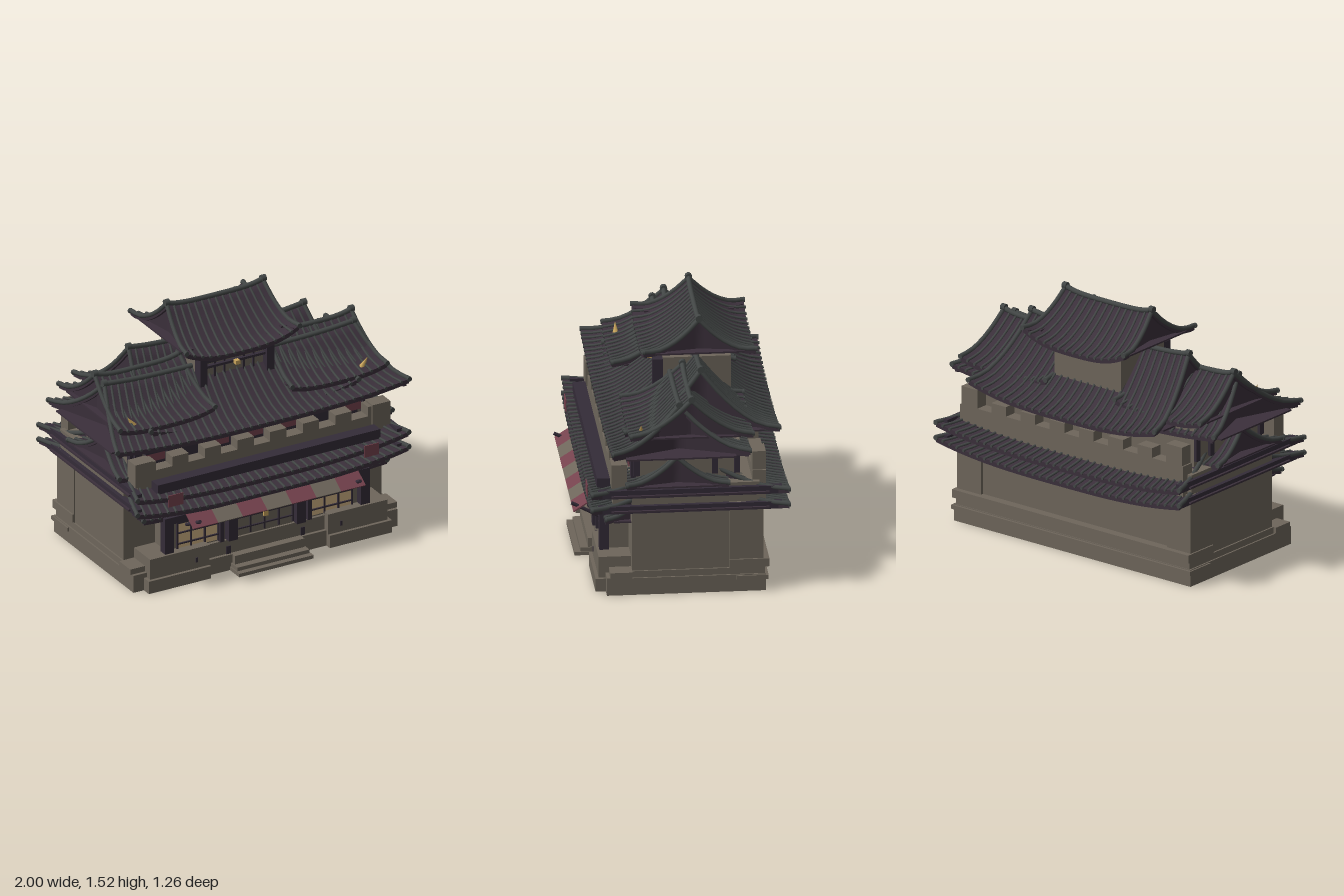
import * as THREE from 'three';
import { mergeGeometries } from 'three/addons/utils/BufferGeometryUtils.js';

const mat = (name, color) => {
  const m = new THREE.MeshStandardMaterial({ color });
  m.name = name;
  return m;
};

export function createModel() {
  const root = new THREE.Group();
  root.name = 'castleHouse';
  const stone = mat('stone', 0x6e665b);
  const roofTile = mat('roofTile', 0x3b303b);
  const ribTile = mat('ribTile', 0x434746);
  const wood = mat('darkWood', 0x342c38);
  const red = mat('redCloth', 0x75424d);
  const lit = mat('litPaper', 0xd0b284);
  const gold = mat('gold', 0xc9a55c);

  const add = (name, geo, material, parent = root) => {
    const m = new THREE.Mesh(geo, material);
    m.name = name;
    parent.add(m);
    return m;
  };
  // Box given by its minimum and maximum on each axis
  const box = (name, m, x0, x1, y0, y1, z0, z1, parent = root) => {
    const b = add(name, new THREE.BoxGeometry(x1 - x0, y1 - y0, z1 - z0), m, parent);
    b.position.set((x0 + x1) / 2, (y0 + y1) / 2, (z0 + z1) / 2);
    return b;
  };
  // The same box on the left and the right
  const pair = (name, m, x0, x1, ...r) => {
    box(name, m, x0, x1, ...r);
    box(name, m, -x1, -x0, ...r);
  };

  // Curved gable roof with round tile ribs, verges, ridge cap and gable panels
  function gableRoof(name, { cx = 0, cz, depth, eaveX, ridgeX, eave, ridge, lift, base = eave + lift - 0.025 }) {
    const g = new THREE.Group();
    g.name = name;
    g.position.set(cx, 0, cz);
    root.add(g);
    const width = t => ridgeX + (eaveX - ridgeX) * t;
    const height = (u, t) => eave + (ridge - eave) * Math.pow(1 - t, 1.6)
      + lift * Math.abs(u) ** 3 * t * t + 0.025 * u ** 4 * (1 - t);
    const point = (u, s, dy = 0) => new THREE.Vector3(
      u * width(Math.abs(s)), height(u, Math.abs(s)) + dy, s * depth);

    // Roof slab
    const slab = new THREE.BoxGeometry(2, 1, 2, 20, 1, 20);
    const p = slab.attributes.position;
    for (let i = 0; i < p.count; i++) {
      const v = point(p.getX(i), p.getZ(i), p.getY(i) > 0 ? 0 : -0.028);
      p.setXYZ(i, v.x, v.y, v.z);
    }
    slab.computeVertexNormals();
    add('roofSlab', slab, roofTile, g);

    // Gable panels, each on a flat board reaching out to the eave line
    for (const side of [-1, 1]) {
      const panel = new THREE.BoxGeometry(0.02, 1, 2, 1, 1, 20);
      const q = panel.attributes.position;
      for (let i = 0; i < q.count; i++) {
        const s = q.getZ(i), t = Math.abs(s);
        const top = Math.max(base + 0.005, height(1, t) - 0.012);
        q.setXYZ(i, side * (width(t) - 0.025) + q.getX(i), q.getY(i) > 0 ? top : base, s * depth * 0.98);
      }
      panel.computeVertexNormals();
      add('gablePanel', panel, roofTile, g);
      const inner = side * (ridgeX - 0.03), outer = side * (eaveX - 0.005);
      box('gableBoard', roofTile, Math.min(inner, outer), Math.max(inner, outer),
        base, base + 0.01, -depth * 0.8, depth * 0.8, g);
    }

    // Tile ribs down both slopes, thicker at the verges
    const ribs = [];
    const n = Math.round(eaveX * 2 / 0.053);
    for (let i = 0; i <= n; i++) {
      const u = -1 + 2 * i / n, edge = i === 0 || i === n;
      for (const side of [-1, 1]) {
        const pts = [0, 0.25, 0.5, 0.75, 1].map(t => point(u, side * t, 0.003));
        const r = edge ? 0.014 : 0.008;
        ribs.push(new THREE.TubeGeometry(new THREE.CatmullRomCurve3(pts), 8, r, 6));
        const cap = new THREE.CylinderGeometry(r * 1.15, r * 1.15, 0.014, 8);
        cap.rotateX(Math.PI / 2).translate(...point(u, side, 0).toArray());
        ribs.push(cap);
      }
    }
    add('tileRibs', mergeGeometries(ribs), ribTile, g);

    // Ridge cap with end tiles
    const line = [];
    for (let i = 0; i <= 10; i++) line.push(point(-1 + i / 5, 0, 0.008));
    const cap = [new THREE.TubeGeometry(new THREE.CatmullRomCurve3(line), 20, 0.016, 8)];
    for (const side of [-1, 1]) {
      const end = new THREE.CylinderGeometry(0.021, 0.021, 0.03, 10);
      cap.push(end.rotateZ(Math.PI / 2).translate(...point(side, 0, 0.012).toArray()));
    }
    add('ridgeCap', mergeGeometries(cap), ribTile, g);
  }

  // Roofs from the top down
  gableRoof('towerRoof', { cz: -0.145, depth: 0.33, eaveX: 0.38, ridgeX: 0.325, eave: 1.25, ridge: 1.465, lift: 0.07 });
  gableRoof('rearRoof', { cz: -0.13, depth: 0.455, eaveX: 0.7, ridgeX: 0.59, eave: 0.88, ridge: 1.25, lift: 0.07 });
  for (const s of [-1, 1]) {
    gableRoof('wingRoof', { cx: s * 0.58, cz: -0.05, depth: 0.36, eaveX: 0.32, ridgeX: 0.285, eave: 0.965, ridge: 1.175, lift: 0.035 });
  }
  gableRoof('mainRoof', { cz: 0.02, depth: 0.405, eaveX: 0.984, ridgeX: 0.84, eave: 0.875, ridge: 1.135, lift: 0.05, base: 0.88 });
  gableRoof('sideRoof', { cz: 0.035, depth: 0.3, eaveX: 0.92, ridgeX: 0.86, eave: 0.66, ridge: 0.82, lift: 0.04 });
  gableRoof('upperSkirtRoof', { cz: -0.04, depth: 0.58, eaveX: 0.915, ridgeX: 0.73, eave: 0.585, ridge: 0.82, lift: 0.06 });
  gableRoof('lowerSkirtRoof', { cz: -0.04, depth: 0.58, eaveX: 0.915, ridgeX: 0.73, eave: 0.49, ridge: 0.72, lift: 0.06 });
  gableRoof('porchRoof', { cz: 0.2, depth: 0.25, eaveX: 0.82, ridgeX: 0.78, eave: 0.43, ridge: 0.56, lift: 0.02 });

  // Main body, with thicker rear corners
  box('body', stone, -0.87, 0.87, 0, 0.68, -0.45, 0.3);
  pair('rearCorner', stone, 0.7, 0.88, 0.1, 0.56, -0.47, -0.27);
  pair('sideBeam', wood, 0.86, 0.895, 0.515, 0.56, -0.58, 0.5);
  pair('sideBeam', wood, 0.86, 0.895, 0.61, 0.66, -0.58, 0.5);
  box('upperStorey', stone, -0.8, 0.8, 0.6, 0.92, -0.34, 0.27);
  for (let i = 0; i < 8; i++) {
    const x = -0.77 + i * 0.22;
    box('upperPost', wood, x - 0.025, x + 0.025, 0.7, 0.9, 0.26, 0.3);
  }
  box('upperWindowBand', wood, -0.72, 0.72, 0.7, 0.86, 0.265, 0.276);
  for (const z of [-0.34, -0.21, 0.25]) pair('eavePost', wood, 0.78, 0.82, 0.72, 0.9, z, z + 0.035);

  // Crenellated parapets
  for (const [z0, z1] of [[0.33, 0.41], [-0.49, -0.41]]) {
    box('parapet', stone, -0.84, 0.84, 0.55, 0.74, z0, z1);
    for (let i = 0; i < 8; i++) {
      const x = -0.77 + i * 0.22;
      box('merlon', stone, x - 0.055, x + 0.055, 0.74, 0.8, z0, z1);
    }
  }
  pair('frontCornerMerlon', stone, 0.74, 0.86, 0.66, 0.81, 0.33, 0.42);
  pair('rearCornerPost', stone, 0.71, 0.83, 0.6, 0.855, -0.49, -0.41);
  box('balconyBeam', wood, -0.75, 0.75, 0.625, 0.685, 0.42, 0.495);

  // Red cloths and lamps behind the parapet, and cloths over the skirt roof
  for (const x of [-0.66, -0.23, 0, 0.23, 0.66]) {
    box('smallCloth', red, x - 0.065, x + 0.065, 0.745, 0.795, 0.302, 0.308);
    box('clothRail', wood, x - 0.07, x + 0.07, 0.795, 0.81, 0.295, 0.31);
  }
  pair('upperLamp', lit, 0.565, 0.615, 0.815, 0.832, 0.3, 0.306);
  pair('sideCloth', red, 0.61, 0.71, 0.555, 0.63, 0.545, 0.55);

  // Tower
  box('towerWall', stone, -0.25, 0.25, 0.95, 1.23, -0.34, 0.06);
  pair('towerPost', wood, 0.2, 0.25, 1.0, 1.22, 0.06, 0.12);
  box('towerLintel', wood, -0.25, 0.25, 1.18, 1.22, 0.06, 0.11);
  box('towerWindow', stone, -0.2, 0.2, 1.07, 1.18, 0.06, 0.075);
  box('towerRail', wood, -0.22, 0.22, 1.14, 1.155, 0.075, 0.1);
  for (const x of [-0.13, -0.065, 0.065, 0.13]) box('towerBar', wood, x - 0.006, x + 0.006, 1.07, 1.18, 0.075, 0.085);
  box('towerEmblem', gold, -0.014, 0.014, 1.135, 1.16, 0.1, 0.13);

  // Ground floor front
  box('frontHall', stone, -0.66, 0.66, 0.1, 0.46, 0.28, 0.43);
  box('frontLintel', wood, -0.69, 0.69, 0.395, 0.44, 0.42, 0.475);
  for (const x of [0.23, 0.66]) pair('frontPost', wood, x - 0.03, x + 0.03, 0.19, 0.43, 0.42, 0.475);
  pair('innerPost', wood, 0.28, 0.31, 0.19, 0.43, 0.42, 0.46);
  box('centreDoor', stone, -0.19, 0.19, 0.19, 0.4, 0.43, 0.436);
  pair('litWindow', lit, 0.32, 0.59, 0.2, 0.4, 0.43, 0.436);
  for (const [c, w, panes] of [[-0.45, 0.28, 3], [0, 0.38, 4], [0.45, 0.28, 3]]) {
    for (let i = 0; i <= panes; i++) {
      const x = c - w / 2 + w * i / panes;
      box('mullion', wood, x - 0.005, x + 0.005, 0.2, 0.4, 0.434, 0.445);
    }
    for (const y of [0.24, 0.31, 0.375]) box('transom', wood, c - w / 2, c + w / 2, y - 0.004, y + 0.004, 0.434, 0.446);
  }
  box('doorEmblem', gold, -0.014, 0.014, 0.288, 0.322, 0.446, 0.46);

  // Striped awning on slanted poles
  for (let i = 0; i < 7; i++) {
    const stripe = add('awningStripe', new THREE.BoxGeometry(1.16 / 7, 0.008, 0.13), i % 2 ? stone : red);
    stripe.position.set((i - 3) * 1.16 / 7, 0.447, 0.562);
    stripe.rotation.x = 0.58;
  }
  for (const s of [-1, 1]) {
    const pole = add('awningPole', new THREE.CylinderGeometry(0.011, 0.011, 0.18, 8), wood);
    pole.position.set(s * 0.54, 0.41, 0.545);
    pole.rotation.x = 1.08;
  }

  // Stone plinth in tiers
  box('plinthLow', stone, -0.89, 0.89, 0, 0.105, -0.485, 0.33);
  box('plinthMiddle', stone, -0.88, 0.88, 0.105, 0.145, -0.48, 0.32);
  box('plinthRearLedge', stone, -0.9, 0.9, 0.075, 0.1, -0.5, -0.31);
  box('plinthRearTop', stone, -0.89, 0.89, 0.15, 0.2, -0.505, -0.27);
  box('frontTerrace', stone, -0.7, 0.7, 0, 0.19, 0.3, 0.45);
  pair('terraceBlock', stone, 0.4, 0.8, 0.03, 0.21, 0.3, 0.49);
  pair('terraceFoot', stone, 0.4, 0.82, 0, 0.08, 0.3, 0.51);
  pair('terraceSide', stone, 0.8, 0.89, 0, 0.11, 0.3, 0.45);
  pair('terraceSideTop', stone, 0.78, 0.9, 0.11, 0.145, 0.3, 0.43);
  pair('terraceStub', wood, 0.235, 0.265, 0.1, 0.15, 0.45, 0.456);
  pair('terraceStub', wood, 0.48, 0.495, 0.12, 0.15, 0.49, 0.496);
  box('terraceStep', stone, -0.4, 0.4, 0, 0.1, 0.44, 0.47);
  [[0.1, 0.5], [0.045, 0.545], [0.022, 0.58]].forEach(([y, z], i) => {
    const w = 0.235 + i * 0.008;
    box('frontStep', stone, -w, w, 0, y, 0.44, z);
  });

  // Small gilt ornaments on the wing roofs
  for (const s of [-1, 1]) {
    const horn = add('roofOrnament', new THREE.ConeGeometry(0.02, 0.075, 6), gold);
    horn.position.set(s * 0.79, 1.005, 0.24);
    horn.rotation.z = -s * 0.6;
  }
  return root;
}
